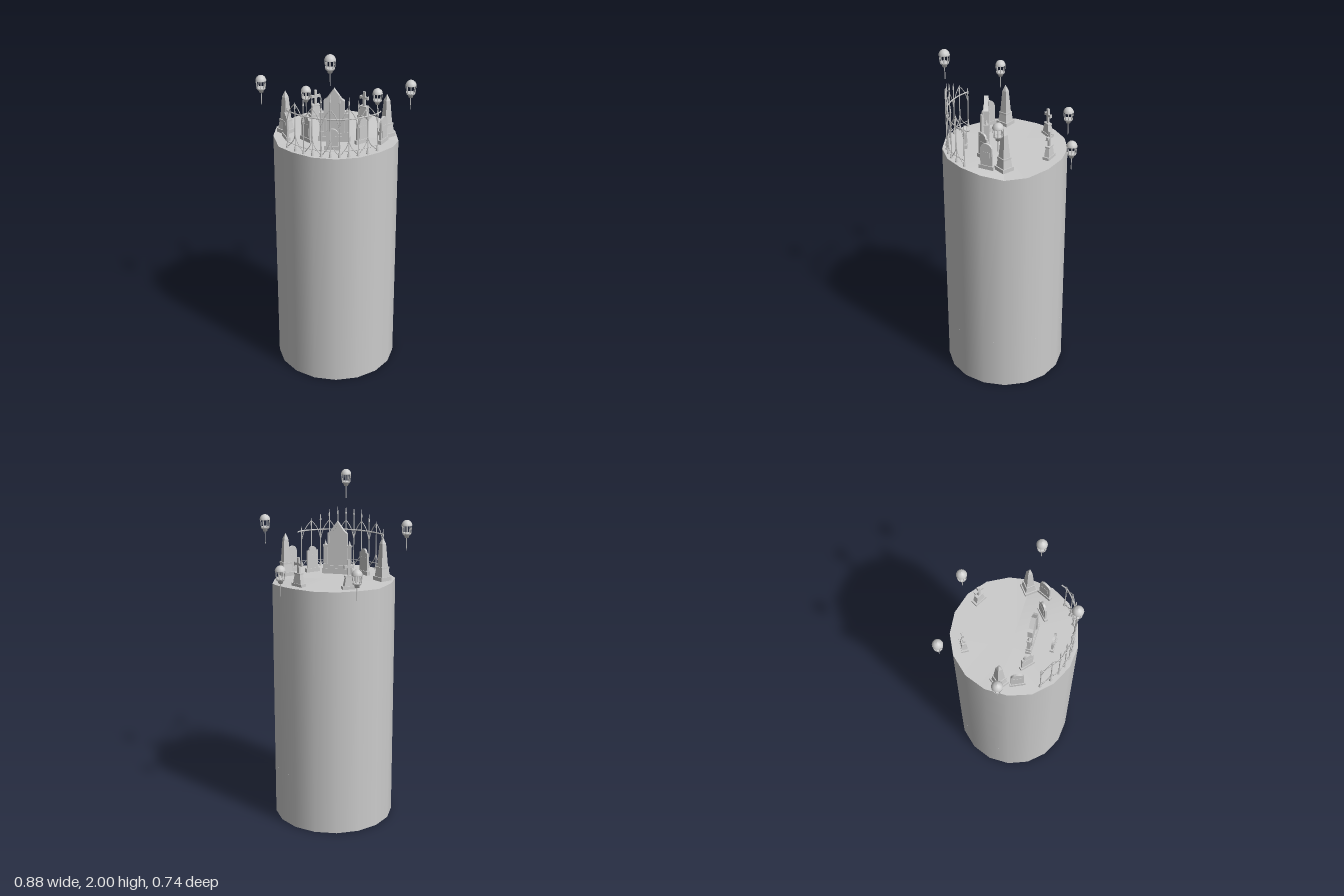
import * as THREE from 'three';

const GROUND = 1.43, CZ = 0.0165, R = 0.3485, SIDES = 17;
const grey = new THREE.MeshStandardMaterial({ color: 0xcccccc, side: THREE.DoubleSide });
const V = (x, y, z) => new THREE.Vector3(x, y, z);

function add(parent, name, geo, x = 0, y = 0, z = 0) {
  const m = new THREE.Mesh(geo, grey);
  m.name = name;
  m.position.set(x, y, z);
  parent.add(m);
  return m;
}
function group(parent, name, x = 0, y = 0, z = 0, turn = 0) {
  const g = new THREE.Group();
  g.name = name;
  g.position.set(x, y, z);
  g.rotation.y = turn;
  parent.add(g);
  return g;
}
const box = (p, name, w, h, d, x, y, z = 0) => add(p, name, new THREE.BoxGeometry(w, h, d), x, y + h / 2, z);

// Square block that narrows upwards, standing on y
function taper(p, name, w0, d0, w1, d1, h, y, x = 0) {
  const geo = new THREE.BoxGeometry(1, h, 1), pos = geo.attributes.position;
  for (let i = 0; i < pos.count; i++) {
    const top = pos.getY(i) > 0;
    pos.setX(i, pos.getX(i) * (top ? w1 : w0));
    pos.setZ(i, pos.getZ(i) * (top ? d1 : d0));
  }
  geo.computeVertexNormals();
  return add(p, name, geo, x, y + h / 2, 0);
}
function plate(p, name, shape, depth, y, z = 0) {
  const geo = new THREE.ExtrudeGeometry(shape, { depth, bevelEnabled: false, curveSegments: 6 });
  return add(p, name, geo, 0, y, z - depth / 2);
}
const polygon = (pts) => new THREE.Shape(pts.map(([x, y]) => new THREE.Vector2(x, y)));
const tube = (p, name, pts, r, n = 6) =>
  add(p, name, new THREE.TubeGeometry(new THREE.CatmullRomCurve3(pts), n, r, 5));

// Sunken parts of the worn rim
const dips = { 0: 0.03, 1: 0.025, 2: 0.008, 7: 0.006, 10: 0.012, 16: 0.012 };
function wearRim(geo) {
  const pos = geo.attributes.position;
  for (let i = 0; i < pos.count; i++) {
    const x = pos.getX(i), z = pos.getZ(i);
    if (pos.getY(i) < GROUND - 0.01 || Math.hypot(x, z) < R * 0.95) continue;
    const k = (Math.round(Math.atan2(-z, x) / (2 * Math.PI) * SIDES) + SIDES) % SIDES;
    pos.setY(i, GROUND - (dips[k] || 0));
  }
  return geo;
}

function buildColumn(root) {
  const g = group(root, 'column', 0, 0, CZ);
  const wall = new THREE.CylinderGeometry(R, R, GROUND, SIDES, 1, true, Math.PI / 2);
  add(g, 'outerWall', wearRim(wall.translate(0, GROUND / 2, 0)));
  const top = new THREE.CircleGeometry(R, SIDES).rotateX(-Math.PI / 2).translate(0, GROUND, 0);
  wearRim(top).computeVertexNormals();
  add(g, 'groundTop', top);
  // Ledge and narrower bore seen through the open bottom
  add(g, 'innerLedge', new THREE.RingGeometry(0.29, R * 0.985, SIDES * 2, 1).rotateX(Math.PI / 2), 0, 0.31, 0);
  add(g, 'innerBore', new THREE.CylinderGeometry(0.29, 0.29, 1.05, SIDES * 2, 1, true), 0, 0.835, 0);
}

// Hanging lantern, origin at its top
function buildLantern(root, x, top, z) {
  const g = group(root, 'lantern', x, top, z);
  const P = (r, y) => new THREE.Vector2(r, y);
  const lathe = (name, pts) => add(g, name, new THREE.LatheGeometry(pts, 14));
  lathe('dome', [P(0.03, -0.03), P(0.029, -0.024), P(0.024, -0.013), P(0.014, -0.004), P(0, 0)]);
  lathe('foot', [P(0, -0.1), P(0.012, -0.099), P(0.014, -0.088), P(0.024, -0.08), P(0.024, -0.074), P(0, -0.074)]);
  for (const y of [-0.03, -0.074])
    add(g, 'cageRing', new THREE.TorusGeometry(y < -0.05 ? 0.023 : 0.028, 0.0025, 5, 14).rotateX(Math.PI / 2), 0, y, 0);
  for (let i = 0; i < 8; i++) {
    const a = i * Math.PI / 4, c = Math.cos(a), s = Math.sin(a);
    tube(g, 'cageBar', [V(0.028 * c, -0.028, 0.028 * s), V(0.023 * c, -0.076, 0.023 * s)], 0.0022, 1);
  }
  add(g, 'stem', new THREE.CylinderGeometry(0.003, 0.002, 0.075, 6), 0, -0.133, 0);
}

// Curved iron fence with spear posts and crossing pointed arches
function buildFence(root) {
  const g = group(root, 'fence');
  const FR = 0.325, N = 5;
  const at = (x, y) => V(x, y, CZ - 0.003 + Math.sqrt(FR * FR - x * x));
  const step = 0.0485;
  const rail = (name, y, r, ends = []) => {
    const pts = [];
    for (let i = -N; i <= N; i++) pts.push(at(i * step, y));
    tube(g, name, [...pts, ...ends], r, 30);
  };
  rail('upperRail', 1.645, 0.004, [V(0.255, 1.645, 0.2)]);
  rail('lowerRail', 1.465, 0.002);
  for (let i = -N; i <= N; i++) {
    const x = i * step, top = 1.785 - 0.0042 * i * i, p = at(x, 0);
    add(g, 'post', new THREE.CylinderGeometry(0.003, 0.003, top - 0.04 - GROUND, 6), x, (top - 0.04 + GROUND) / 2, p.z);
    add(g, 'spearTip', new THREE.ConeGeometry(0.0055, 0.045, 6), x, top - 0.0225, p.z);
    add(g, 'postFoot', new THREE.CylinderGeometry(0.003, 0.009, 0.03, 8), x, GROUND + 0.015, p.z);
    if (i === N) continue;
    // Arches rise from one post to the next, in both directions
    for (const [a, b] of [[i, i + 1], [i + 1, i]]) {
      if (b % 2) continue;
      const up = (t, y) => at((a + (b - a) * t) * step, y);
      tube(g, 'arch', [up(0, 1.59), up(0.25, 1.64), up(0.6, 1.675), up(1, 1.70)], 0.0025);
      tube(g, 'footArch', [up(0, 1.435), up(0.4, 1.46), up(0.8, 1.49), up(1, 1.53)], 0.0022);
    }
  }
}

// Large gabled headstone with two pillars
function buildMainStone(root) {
  const g = group(root, 'mainHeadstone', 0, GROUND, 0.117);
  box(g, 'base', 0.176, 0.03, 0.032, 0, 0);
  const outline = (s, y0, y1, y2) => [[-s, y0], [s, y0], [s, y1], [s * 0.72, y1 + 0.012], [0, y2], [-s * 0.72, y1 + 0.012], [-s, y1]];
  const frame = polygon(outline(0.057, 0.03, 0.235, 0.305));
  frame.holes.push(polygon(outline(0.043, 0.048, 0.222, 0.277)));
  plate(g, 'frame', frame, 0.026, 0);
  plate(g, 'panel', polygon(outline(0.044, 0.045, 0.224, 0.28)), 0.014, 0);
  for (const s of [-1, 1]) {
    box(g, 'pillarFoot', 0.027, 0.025, 0.027, s * 0.07, 0.03);
    box(g, 'pillar', 0.019, 0.1, 0.019, s * 0.07, 0.055);
    box(g, 'pillarCap', 0.026, 0.01, 0.026, s * 0.07, 0.155);
    add(g, 'finial', new THREE.ConeGeometry(0.009, 0.03, 8), s * 0.07, 0.18, 0);
  }
}

// Small headstone with a rounded or shouldered top
function buildHeadstone(root, x, z, turn, w, h, shouldered) {
  const g = group(root, 'headstone', x, GROUND, z, turn);
  box(g, 'base', w, 0.022, 0.021, 0, 0);
  const s = w * 0.4, r = shouldered ? s * 0.68 : s;
  const shape = new THREE.Shape();
  shape.moveTo(-s, 0.022);
  shape.lineTo(s, 0.022);
  shape.lineTo(s, h - r);
  shape.absarc(0, h - r, r, 0, Math.PI, false);
  shape.lineTo(-s, h - r);
  plate(g, 'slab', shape, 0.012, 0);
  box(g, 'panel', s * 1.35, h * 0.45, 0.015, 0, h * 0.22);
}

// Stepped plinth with a tapering shaft
function buildObelisk(root, x, z, turn) {
  const g = group(root, 'obelisk', x, GROUND, z, turn);
  box(g, 'base', 0.073, 0.022, 0.073, 0, 0);
  taper(g, 'plinth', 0.06, 0.06, 0.05, 0.05, 0.045, 0.022);
  box(g, 'plinthCap', 0.054, 0.01, 0.054, 0, 0.067);
  taper(g, 'shaft', 0.044, 0.044, 0.026, 0.026, 0.13, 0.077);
  taper(g, 'tip', 0.026, 0.026, 0.002, 0.002, 0.035, 0.207);
}

// Cross on a pedestal
function buildCross(root, x, z, turn) {
  const g = group(root, 'crossStone', x, GROUND, z, turn);
  box(g, 'base', 0.076, 0.016, 0.038, 0, 0);
  taper(g, 'pedestal', 0.058, 0.03, 0.04, 0.022, 0.05, 0.016);
  box(g, 'pedestalCap', 0.046, 0.008, 0.026, 0, 0.066);
  box(g, 'crossPost', 0.014, 0.086, 0.012, 0, 0.074);
  box(g, 'crossArms', 0.05, 0.014, 0.012, 0, 0.116);
  for (const s of [-1, 1]) box(g, 'armEnd', 0.006, 0.02, 0.014, s * 0.025, 0.113);
}

export function createModel() {
  const root = new THREE.Group();
  root.name = 'graveyardColumn';
  buildColumn(root);
  buildFence(root);
  buildMainStone(root);
  buildHeadstone(root, 0, 0.235, 0, 0.085, 0.12, false);
  buildLantern(root, 0, 2.0, 0.337);
  for (const s of [-1, 1]) {
    buildLantern(root, s * 0.408, 1.77, 0.046);
    buildLantern(root, s * 0.21, 1.568, -0.343);
    buildHeadstone(root, s * 0.152, 0.131, s * 0.73, 0.086, 0.15, true);
    buildHeadstone(root, s * 0.267, 0.111, s * 1.13, 0.086, 0.15, false);
    buildObelisk(root, s * 0.28, 0.016, s * 0.68);
    buildCross(root, s * 0.14, -0.225, -s * 0.53);
  }
  return root;
}
